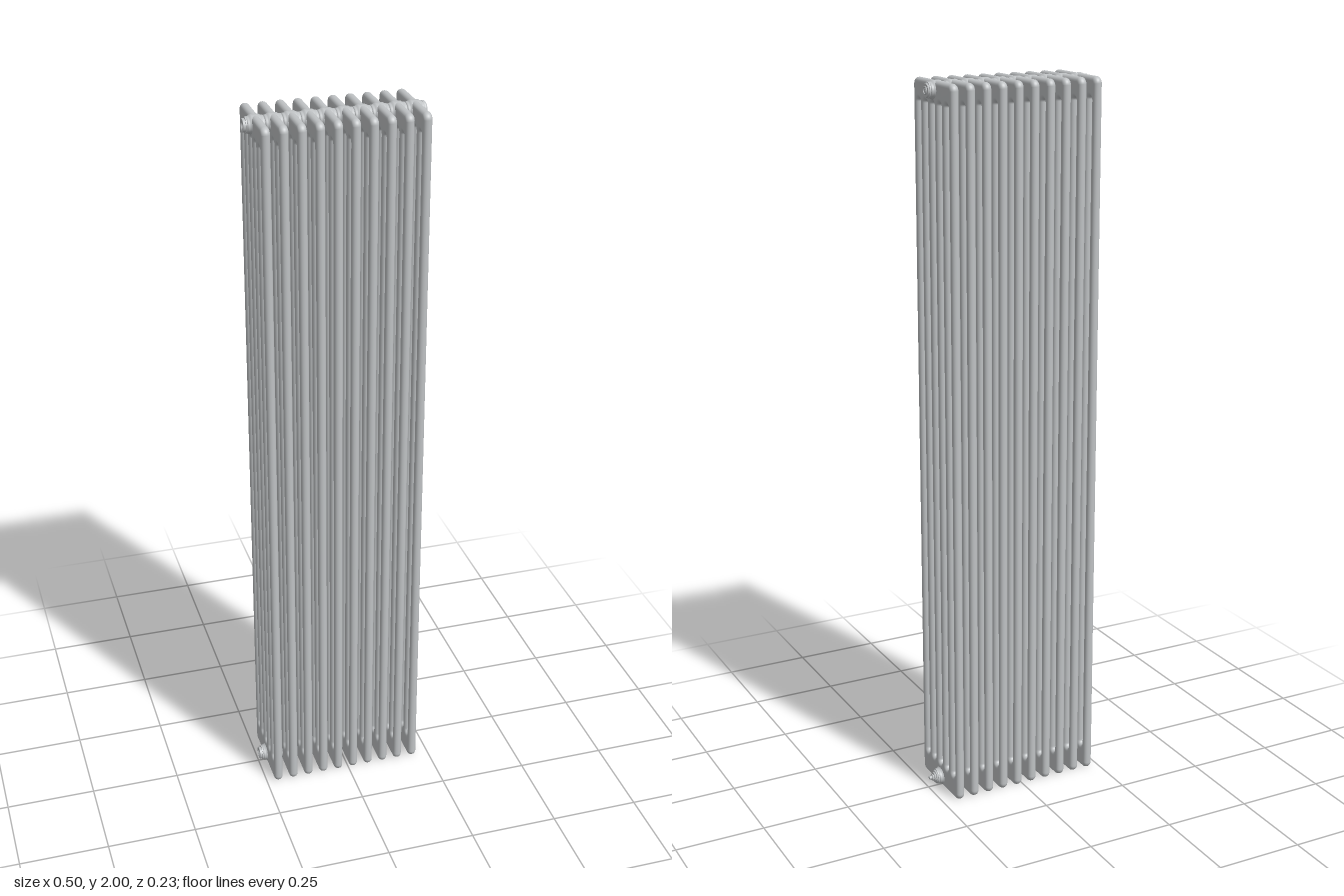
import * as THREE from 'three';
import { mergeVertices } from 'three/addons/utils/BufferGeometryUtils.js';

const SECTIONS = 10, PITCH = 0.0461, FIRST_X = -0.215;
const COLUMNS = 6, COLUMN_GAP = 0.0414;
const ROUND = 0.011;              // rounding of every tube and header edge
const AXES = [0.028, 1.976];      // heights of the lower and upper connections

// One radiator section: two headers joined by six tubes, drawn as a thin core and rounded by the bevel
function sectionGeometry() {
  const w = 0.104, y0 = ROUND, y1 = 2 - ROUND, c = 0.007;
  const shape = new THREE.Shape();
  shape.moveTo(-w + c, y0);
  shape.lineTo(w - c, y0);
  shape.absarc(w - c, y0 + c, c, -Math.PI / 2, 0);
  shape.absarc(w - c, y1 - c, c, 0, Math.PI / 2);
  shape.absarc(-w + c, y1 - c, c, Math.PI / 2, Math.PI);
  shape.absarc(-w + c, y0 + c, c, Math.PI, Math.PI * 1.5);

  const r = COLUMN_GAP / 2 - 0.0005;
  for (let i = 0; i < COLUMNS - 1; i++) {
    const z = (i - (COLUMNS - 2) / 2) * COLUMN_GAP;
    const slot = new THREE.Path();
    slot.absarc(z, 1.958 - r, r, 0, Math.PI);
    slot.absarc(z, 0.055 + r, r, Math.PI, Math.PI * 2);
    shape.holes.push(slot);
  }
  const raw = new THREE.ExtrudeGeometry(shape, {
    depth: 0.002, bevelEnabled: true, bevelThickness: ROUND, bevelSize: ROUND,
    bevelSegments: 5, curveSegments: 10,
  });
  raw.translate(0, 0, -0.001);
  raw.rotateY(Math.PI / 2);
  raw.deleteAttribute('normal');
  raw.deleteAttribute('uv');
  const geometry = mergeVertices(raw, 1e-5);
  geometry.computeVertexNormals();
  return geometry;
}

// Connecting hub flaring into the section; the axis runs along x
function hubGeometry() {
  const half = [[0.0285, 0.009], [0.0275, 0.0125], [0.0255, 0.0145], [0.0245, 0.017],
    [0.0243, 0.02], [0.0235, 0.0222], [0.0215, 0.0231]];
  const points = [
    ...half.slice().reverse().map(([r, x]) => new THREE.Vector2(r, -x)),
    ...half.map(([r, x]) => new THREE.Vector2(r, x)),
  ];
  const geometry = new THREE.LatheGeometry(points, 28);
  geometry.rotateZ(-Math.PI / 2);
  geometry.scale(1, 0.88, 1);
  return geometry;
}

export function createModel() {
  const model = new THREE.Group();
  model.name = 'columnRadiator';
  const enamel = new THREE.MeshStandardMaterial({ color: 0xbfc2c4 });
  enamel.name = 'greyEnamel';

  const add = (name, geometry, x, y) => {
    const mesh = new THREE.Mesh(geometry, enamel);
    mesh.name = name;
    mesh.position.set(x, y, 0);
    model.add(mesh);
    return mesh;
  };
  // Disc, cone or hexagon from xa to xb along x
  const turned = (name, xa, xb, ra, rb, y, sides = 24) => {
    const geometry = new THREE.CylinderGeometry(rb, ra, xb - xa, sides);
    geometry.rotateZ(-Math.PI / 2);
    return add(name, sides < 10 ? geometry.toNonIndexed() : geometry, (xa + xb) / 2, y);
  };

  const section = sectionGeometry(), hub = hubGeometry();
  for (let i = 0; i < SECTIONS; i++) {
    const x = FIRST_X + i * PITCH;
    add('section', section, x, 0);
    for (const y of AXES) add('connectingHub', hub, x, y);
  }

  AXES.forEach((y, level) => {
    // Left end: stepped bushing with an open bore
    turned('bushingCollar', -0.241, -0.236, 0.021, 0.021, y);
    const ring = [[0.009, 0.238], [0.009, 0.248], [0.0165, 0.248], [0.0175, 0.247], [0.0175, 0.238]]
      .map(([r, x]) => new THREE.Vector2(r, -x)).reverse();
    const ringGeometry = new THREE.LatheGeometry(ring.reverse(), 24);
    ringGeometry.rotateZ(-Math.PI / 2);
    // Profile runs inside, rim, outside so that all faces point outward
    add('bushingRing', ringGeometry, 0, y);

    // Right end: stepped plug
    turned('plugCollar', 0.221, 0.226, 0.0215, 0.0215, y);
    turned('plugFlange', 0.226, 0.230, 0.0195, 0.0175, y);
    if (level === 0) {
      // Lower plug carries the bleed valve
      turned('valveBase', 0.230, 0.234, 0.0145, 0.0125, y);
      turned('valveHexagon', 0.234, 0.239, 0.0095, 0.0095, y, 6);
      turned('valveStem', 0.239, 0.247, 0.0055, 0.0045, y, 12);
    } else {
      const socket = new THREE.TorusGeometry(0.0095, 0.002, 8, 24);
      socket.rotateY(Math.PI / 2);
      add('plugSocketRim', socket, 0.2305, y);
      turned('plugHexagon', 0.229, 0.2315, 0.006, 0.006, y, 6);
    }
  });
  return model;
}
